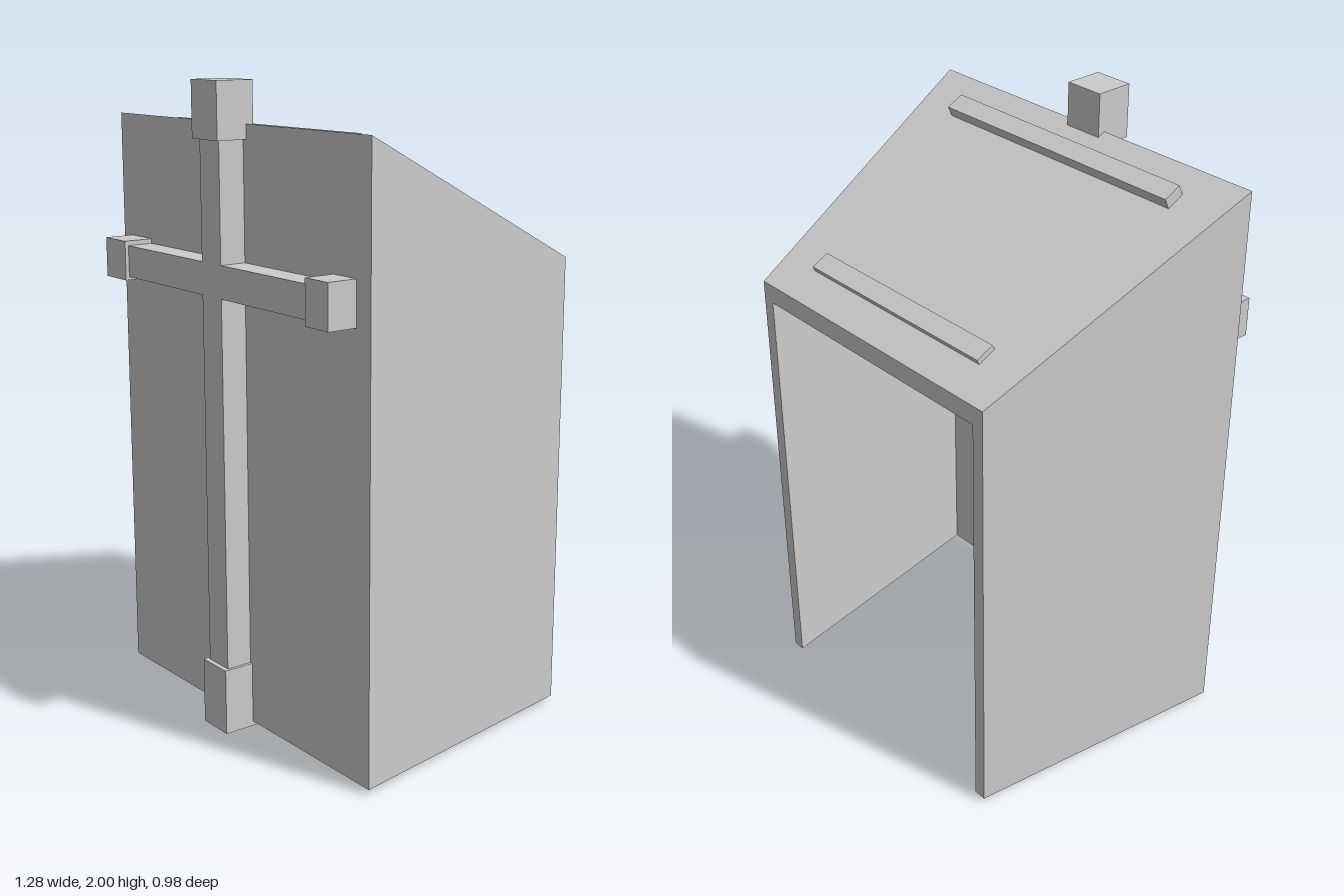
import * as THREE from 'three';

const material = new THREE.MeshStandardMaterial({ color: 0xcccccc, flatShading: true, side: THREE.DoubleSide });
const FRONT = 0.39, BACK = -0.49, BASE = 0.015, LID = 0.06;
const SLOPE = (1.875 - 1.46) / (FRONT - BACK);
const topY = (z) => 1.46 + (z - BACK) * SLOPE;

function add(parent, name, geometry, x = 0, y = 0, z = 0) {
  const mesh = new THREE.Mesh(geometry, material);
  mesh.name = name;
  mesh.position.set(x, y, z);
  parent.add(mesh);
  return mesh;
}

// Extrude a plan outline of [x, z] points upward, then set each vertex height by a rule
function planPrism(points, height) {
  const shape = new THREE.Shape(points.map(([x, z]) => new THREE.Vector2(x, -z)));
  const geometry = new THREE.ExtrudeGeometry(shape, { depth: 1, bevelEnabled: false });
  geometry.rotateX(-Math.PI / 2);
  const p = geometry.attributes.position;
  for (let i = 0; i < p.count; i++) p.setY(i, height(p.getY(i) > 0.5, p.getZ(i)));
  geometry.computeVertexNormals();
  return geometry;
}

// Box given by its extents
function block(parent, name, x0, x1, y0, y1, z0, z1) {
  add(parent, name, new THREE.BoxGeometry(x1 - x0, y1 - y0, z1 - z0),
    (x0 + x1) / 2, (y0 + y1) / 2, (z0 + z1) / 2);
}

export function createModel() {
  const model = new THREE.Group();
  model.name = 'lectern';

  // Front and side walls: tapered U in plan, open at the back and below
  const walls = [[-0.64, FRONT], [0.64, FRONT], [0.5, BACK], [0.46, BACK],
    [0.594, 0.35], [-0.594, 0.35], [-0.46, BACK], [-0.5, BACK]];
  add(model, 'walls', planPrism(walls, (up, z) => (up ? topY(z) - LID : BASE)));

  // Sloping reading top
  const lid = [[-0.64, FRONT], [0.64, FRONT], [0.5, BACK], [-0.5, BACK]];
  add(model, 'readingTop', planPrism(lid, (up, z) => topY(z) - (up ? 0 : LID)));

  // Book ledges lying on the slope
  const angle = Math.atan(SLOPE);
  for (const [name, width, z, height] of [['upperLedge', 0.93, 0.273, 0.036], ['lowerLedge', 0.745, -0.359, 0.018]]) {
    const geometry = new THREE.BoxGeometry(width, height + 0.01, 0.062);
    geometry.translate(0, height / 2 - 0.005, 0);
    add(model, name, geometry, 0, topY(z), z).rotation.x = -angle;
  }

  // Cross on the front, one plus-shaped piece
  const cross = new THREE.Group();
  cross.name = 'cross';
  model.add(cross);
  const outline = [[-0.05, 0.05], [0.05, 0.05], [0.05, 1.37], [0.54, 1.37], [0.54, 1.47], [0.05, 1.47],
    [0.05, 1.95], [-0.05, 1.95], [-0.05, 1.47], [-0.54, 1.47], [-0.54, 1.37], [-0.05, 1.37]];
  const plus = new THREE.Shape(outline.map(([x, y]) => new THREE.Vector2(x, y)));
  add(cross, 'crossBars', new THREE.ExtrudeGeometry(plus, { depth: 0.095, bevelEnabled: false }), 0, 0, 0.38);

  // End blocks of the cross
  block(cross, 'topBlock', -0.067, 0.065, 1.83, 2, 0.365, 0.49);
  block(cross, 'bottomBlock', -0.063, 0.06, 0, 0.21, 0.365, 0.49);
  block(cross, 'rightBlock', -0.593, -0.475, 1.36, 1.485, 0.365, 0.487);
  block(cross, 'leftBlock', 0.475, 0.578, 1.355, 1.49, 0.365, 0.487);

  return model;
}
